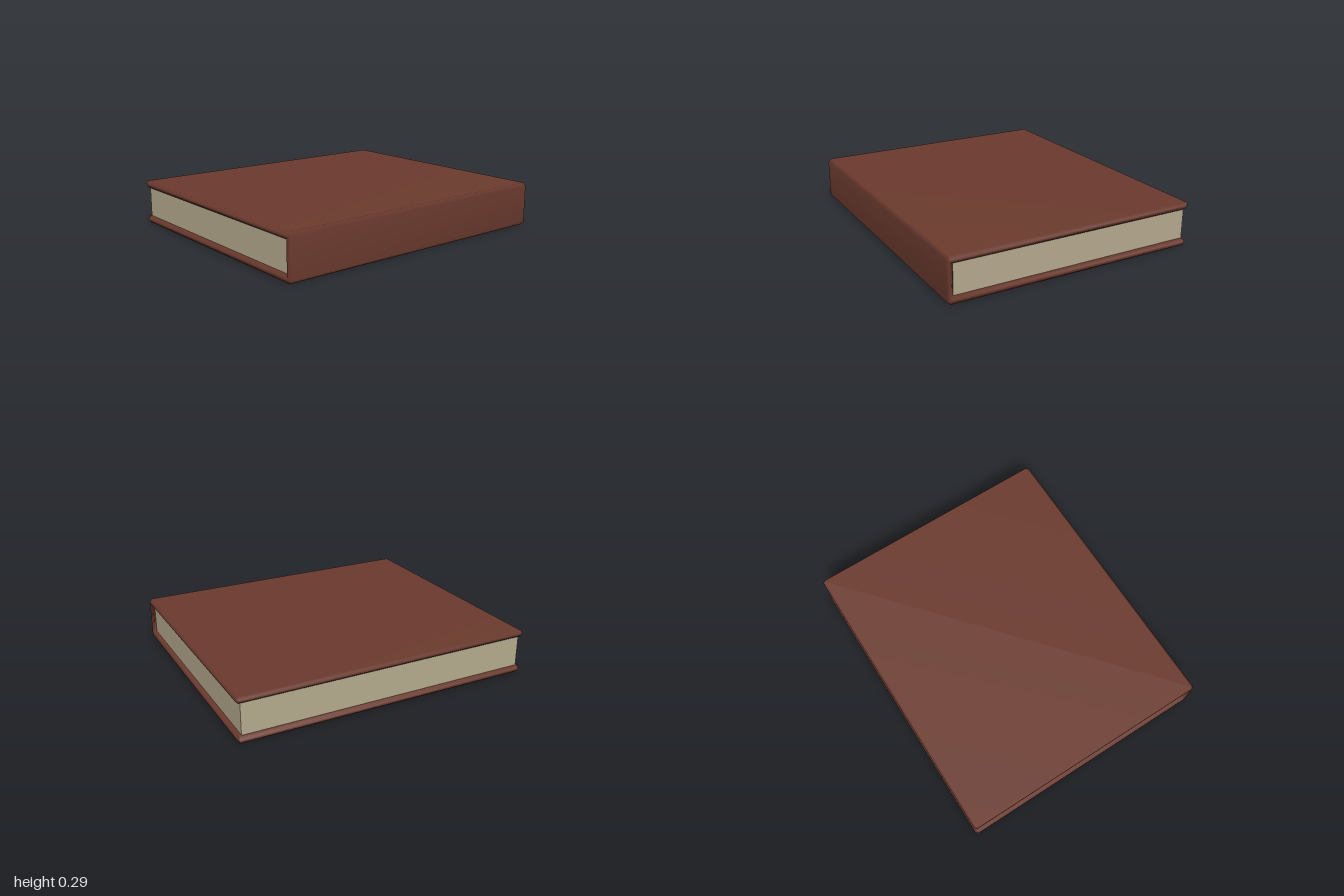
import * as THREE from 'three';
import { mergeVertices } from 'three/addons/utils/BufferGeometryUtils.js';

const HEIGHT = 0.295, MID = HEIGHT / 2;
const BEVEL = 0.015;

// Lower half of the U-shaped cover section, from inner spine corner round to outer spine
const lowerHalf = [
  [-0.83, 0.047], [-0.853, 0.03], [-0.853, 0.013], [-0.84, 0],
  [0.828, 0], [0.85, 0.022],
];

function createCover() {
  const inner = [0.81, 0.047];
  const mirror = ([x, y]) => [x, 2 * MID - y];
  const outline = [inner, ...lowerHalf, ...[...lowerHalf].reverse().map(mirror), mirror(inner)];
  const shape = new THREE.Shape(outline.map(([x, y]) => new THREE.Vector2(x, y)));

  // Bevel inwards so the outline keeps its size
  let geometry = new THREE.ExtrudeGeometry(shape, {
    depth: 2 - 2 * BEVEL,
    bevelEnabled: true,
    bevelThickness: BEVEL,
    bevelSize: BEVEL,
    bevelOffset: -BEVEL,
    bevelSegments: 1,
  });
  geometry.translate(0, 0, -1 + BEVEL);

  // Weld so the edges shade softly while the boards stay flat
  geometry.deleteAttribute('normal');
  geometry.deleteAttribute('uv');
  geometry = mergeVertices(geometry, 1e-4);
  geometry.computeVertexNormals();

  const cover = new THREE.Mesh(geometry, new THREE.MeshStandardMaterial({ color: 0x6b3a2e }));
  cover.name = 'cover';
  return cover;
}

function createPages() {
  const pages = new THREE.Mesh(
    new THREE.BoxGeometry(1.64, 0.207, 1.95),
    new THREE.MeshStandardMaterial({ color: 0xb5aa8e }),
  );
  pages.position.set(-0.012, MID, 0);
  pages.name = 'pages';
  return pages;
}

export function createModel() {
  const book = new THREE.Group();
  book.name = 'book';
  book.add(createCover(), createPages());
  return book;
}
